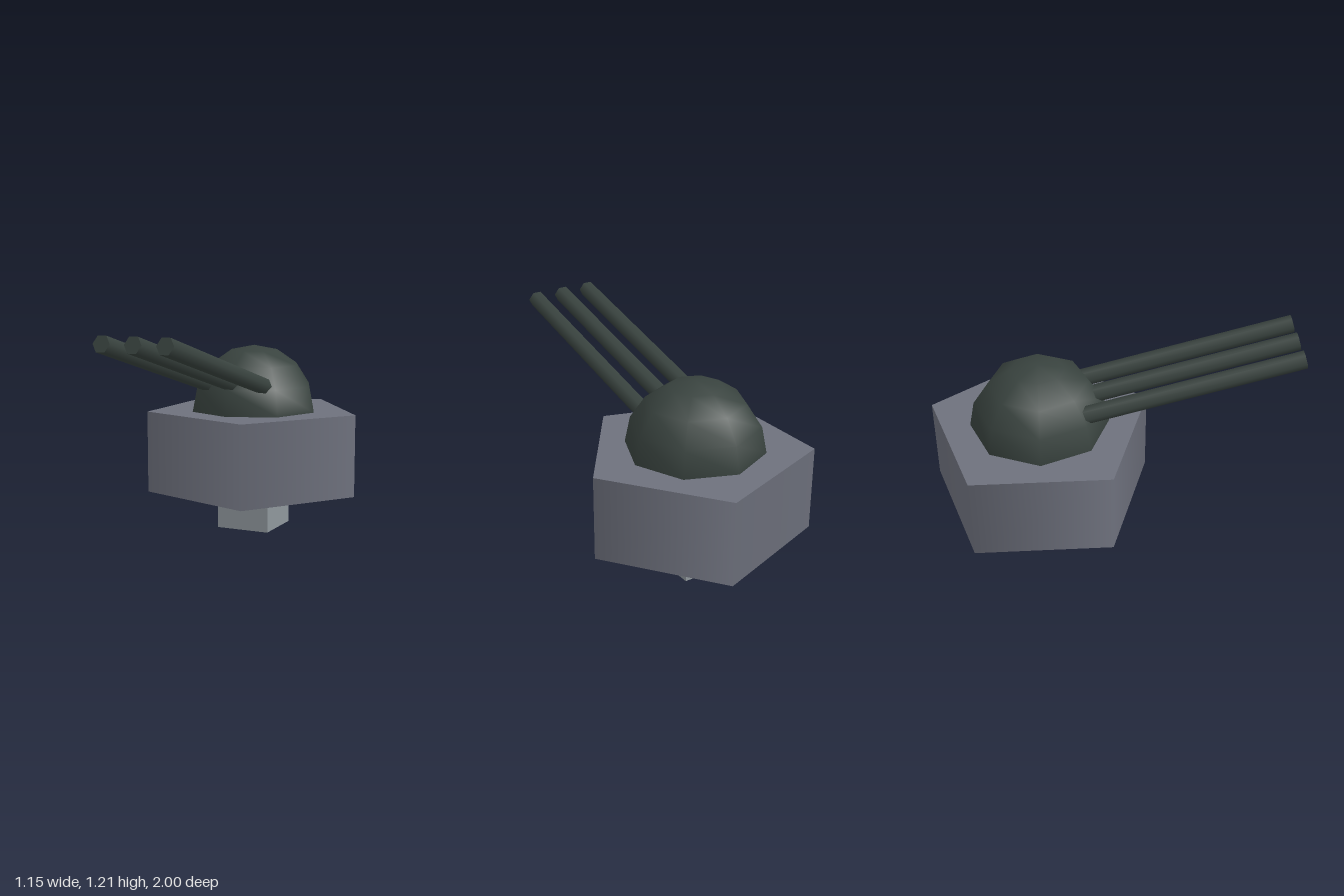
import * as THREE from 'three';

export function createModel() {
  const group = new THREE.Group();
  group.name = 'gunTurret';

  const material = (name, color) => {
    const m = new THREE.MeshStandardMaterial({ color });
    m.name = name;
    return m;
  };
  const blockGrey = material('blockGrey', 0x6e717d);
  const stemGrey = material('stemGrey', 0x8f979c);
  const gunDark = material('gunDark', 0x39433f);

  // Shared vertical axis of the stem, base and dome
  const X = -0.06, Z = -0.395;
  const add = (name, geometry, mat, x, y, z) => {
    const mesh = new THREE.Mesh(geometry, mat);
    mesh.name = name;
    mesh.position.set(x, y, z);
    group.add(mesh);
    return mesh;
  };

  // Square mounting stem
  add('stem', new THREE.BoxGeometry(0.32, 0.225, 0.32), stemGrey, X, 0.1125, Z);

  // Five-sided base with one corner towards +x, smooth around the sides
  add('base', new THREE.CylinderGeometry(0.633, 0.633, 0.475, 5, 1, false, Math.PI / 2),
    blockGrey, X, 0.4625, Z);

  // Half-sphere dome
  add('dome', new THREE.SphereGeometry(0.38, 8, 4, 0, Math.PI * 2, 0, Math.PI / 2),
    gunDark, X, 0.7, Z);

  // Three hexagonal barrels, raised 15 degrees and sunk into the dome
  const tilt = THREE.MathUtils.degToRad(15);
  const length = 1.32;
  const barrel = new THREE.CylinderGeometry(0.048, 0.048, length, 6, 1, false, Math.PI / 2);
  const names = ['rightBarrel', 'middleBarrel', 'leftBarrel'];
  names.forEach((name, i) => {
    const mesh = add(name, barrel, gunDark, X - 0.002 + (i - 1) * 0.175,
      1.172 - Math.sin(tilt) * length / 2, 0.988 - Math.cos(tilt) * length / 2);
    mesh.rotation.x = Math.PI / 2 - tilt;
  });

  return group;
}
